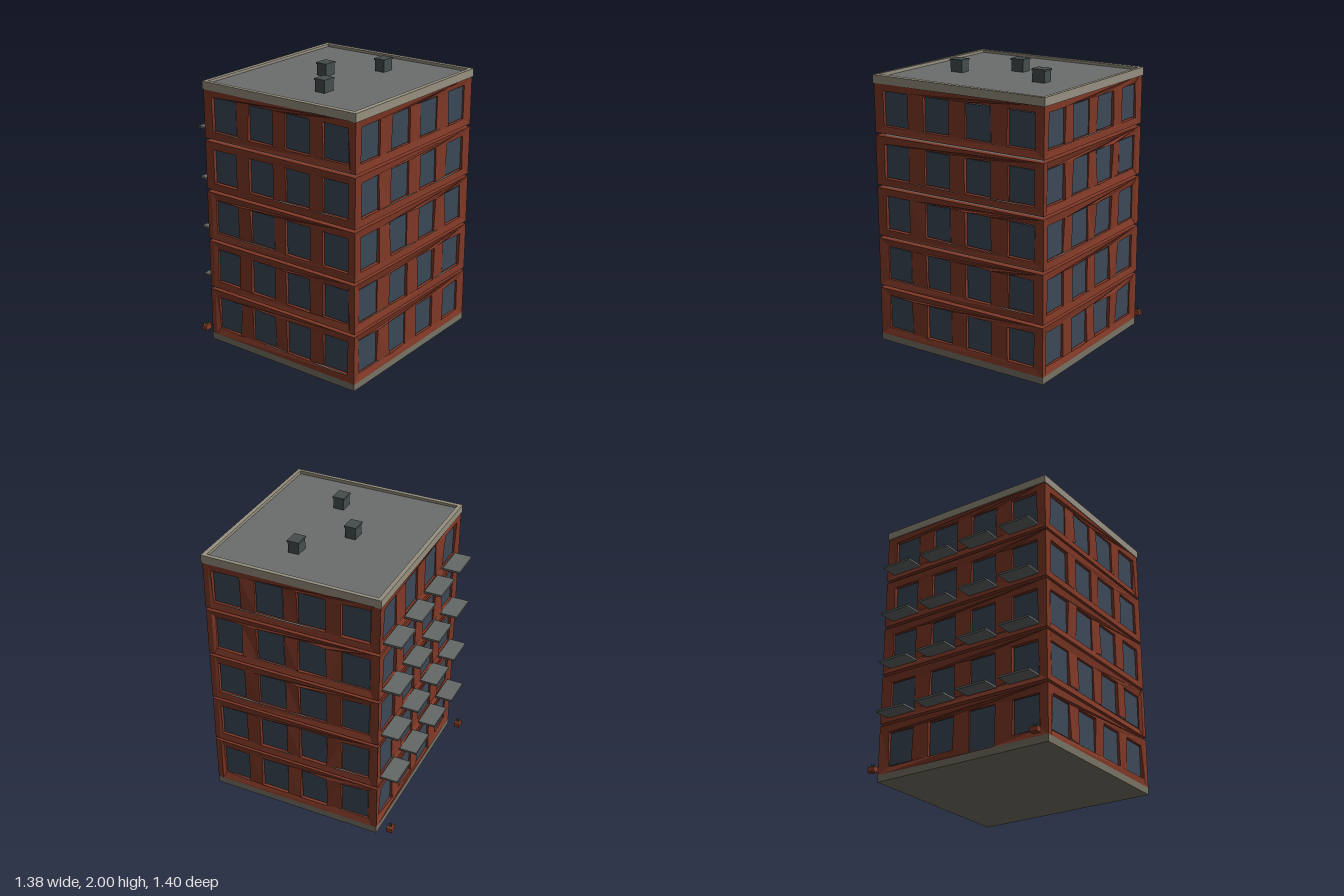
import * as THREE from 'three';

const mat = (color) => new THREE.MeshStandardMaterial({ color, flatShading: true });
const M = {
  brick: mat(0x7f3826), glass: mat(0x3b4857), roof: mat(0x6b6e6c), trim: mat(0x969080),
  base: mat(0x777263), vent: mat(0x454d4d), slab: mat(0x646967), pot: mat(0x8a3d28), leaf: mat(0x3f6b35),
};

// Building footprint: x is +-HX, z is CZ +-HZ
const HX = 0.685, HZ = 0.635, CZ = 0.055, T = 0.04, FLOOR = 0.37;
const WALL_H = 0.35, WIN_Y = 0.05, WIN_H = 0.245, WIN_W = 0.2;
const FRONT_X = [-0.51, -0.17, 0.165, 0.505];
const SIDE_X = [-0.4725, -0.16, 0.1475, 0.4625];

// Repeatable value in 0..1 from a position
function noise(x, y, seed) {
  const s = Math.sin(Math.round(x * 500) * 12.99 + Math.round(y * 500) * 78.23 + seed * 37.7) * 43758.5;
  return s - Math.floor(s);
}

function add(parent, name, geometry, material, x = 0, y = 0, z = 0) {
  const mesh = new THREE.Mesh(geometry, material);
  mesh.name = name;
  mesh.position.set(x, y, z);
  parent.add(mesh);
  return mesh;
}

const box = (w, h, d) => new THREE.BoxGeometry(w, h, d);

function rect(path, x0, y0, x1, y1) {
  path.moveTo(x0, y0);
  path.lineTo(x1, y0);
  path.lineTo(x1, y1);
  path.lineTo(x0, y1);
  path.closePath();
  return path;
}

// One storey of one wall, outer face at z = 0, with loosely fitted panes
function wallPanel(half, centres, seed, door = -1) {
  const group = new THREE.Group();
  group.name = 'wallPanel';
  const shape = rect(new THREE.Shape(), -half, 0, half, WALL_H);
  const w = WIN_W / 2 + 0.003;
  centres.forEach((c, i) => {
    const y0 = i === door ? 0.006 : WIN_Y;
    shape.holes.push(rect(new THREE.Path(), c - w, y0, c + w, WIN_Y + WIN_H));
    const fit = i === door ? 0 : 0.012;
    const top = WIN_Y + WIN_H - fit / 2, bottom = y0 + fit / 2;
    add(group, i === door ? 'door' : 'windowPane', box(w * 2 - fit, top - bottom, 0.01),
      M.glass, c, (top + bottom) / 2, -0.026);
  });
  const geo = new THREE.ExtrudeGeometry(shape, { depth: T, bevelEnabled: false });
  geo.translate(0, 0, -T);
  // Uneven brickwork: sink the opening corners of the outer face
  const p = geo.attributes.position;
  for (let i = 0; i < p.count; i++) {
    const x = p.getX(i), y = p.getY(i);
    const inner = Math.abs(x) < half - 0.01 && y > 0.001 && y < WALL_H - 0.001;
    if (inner && p.getZ(i) > -0.001) p.setZ(i, -0.02 * noise(x, y, seed));
  }
  geo.computeVertexNormals();
  add(group, 'brickWall', geo, M.brick);
  return group;
}

function storey(index) {
  const group = new THREE.Group();
  group.name = 'storey';
  const sides = [
    [HX, FRONT_X, 0, 0, CZ + HZ, -1],
    [HX, FRONT_X.map((x) => -x), Math.PI, 0, CZ - HZ, index === 0 ? 1 : -1],
    [HZ - T, SIDE_X.map((x) => x), Math.PI / 2, HX, CZ, -1],
    [HZ - T, SIDE_X.map((x) => -x), -Math.PI / 2, -HX, CZ, -1],
  ];
  sides.forEach(([half, xs, turn, x, z, door], i) => {
    // The door is found by its place along the rear wall
    const doorIndex = door < 0 ? -1 : xs.findIndex((c) => Math.abs(c - 0.17) < 0.01);
    const panel = wallPanel(half, xs, index * 4 + i, doorIndex);
    panel.rotation.y = turn;
    panel.position.set(x, 0, z);
    group.add(panel);
  });
  // Floor and ceiling plates
  for (const y of [0.008, WALL_H - 0.008]) {
    add(group, 'floorPlate', box((HX - T) * 2, 0.014, (HZ - T) * 2), M.slab, 0, y, CZ);
  }
  // Rear balconies on the upper floors
  if (index > 0) {
    for (const x of [-0.505, -0.17, 0.17, 0.505]) {
      add(group, 'balcony', box(0.235, 0.015, 0.125), M.slab, x, 0.04, -0.6375);
    }
  }
  group.position.y = 0.05 + index * FLOOR;
  return group;
}

function planter(x) {
  const group = new THREE.Group();
  group.name = 'planter';
  add(group, 'pot', box(0.055, 0.035, 0.042), M.pot, 0, 0.0175, 0);
  for (let i = 0; i < 4; i++) {
    const a = i * Math.PI / 2 + 0.4;
    const leaf = add(group, 'leaf', new THREE.ConeGeometry(0.008, 0.036, 4), M.leaf,
      Math.cos(a) * 0.011, 0.049, Math.sin(a) * 0.009);
    leaf.rotation.set(Math.sin(a) * 0.5, 0, -Math.cos(a) * 0.5);
  }
  group.position.set(x, 0.036, -0.673);
  return group;
}

export function createModel() {
  const model = new THREE.Group();
  model.name = 'apartmentBlock';

  add(model, 'base', box(HX * 2, 0.05, HZ * 2), M.base, 0, 0.025, CZ);
  for (let i = 0; i < 5; i++) model.add(storey(i));

  // Parapet ring with slightly uneven top corners, and the roof inside it
  const ring = rect(new THREE.Shape(), -HX - 0.006, -HZ - 0.006, HX + 0.006, HZ + 0.006);
  ring.holes.push(rect(new THREE.Path(), -HX + 0.024, -HZ + 0.024, HX - 0.024, HZ - 0.024));
  const parapet = new THREE.ExtrudeGeometry(ring, { depth: 0.062, bevelEnabled: false });
  parapet.rotateX(-Math.PI / 2);
  const p = parapet.attributes.position;
  for (let i = 0; i < p.count; i++) {
    if (p.getY(i) > 0.03) p.setY(i, 0.062 - 0.008 * noise(p.getX(i), p.getZ(i), 3));
  }
  parapet.computeVertexNormals();
  add(model, 'parapet', parapet, M.trim, 0, 1.873, CZ);
  add(model, 'roof', box((HX - 0.02) * 2, 0.03, (HZ - 0.02) * 2), M.roof, 0, 1.895, CZ);

  // Roof vents with a thin cap
  for (const [x, z] of [[-0.34, 0.18], [0, -0.07], [0.335, 0.18]]) {
    add(model, 'roofVent', box(0.096, 0.085, 0.078), M.vent, x, 1.9475, z);
    add(model, 'ventCap', box(0.106, 0.012, 0.087), M.vent, x, 1.994, z);
  }

  for (const x of [-0.65, 0.65]) model.add(planter(x));
  return model;
}
